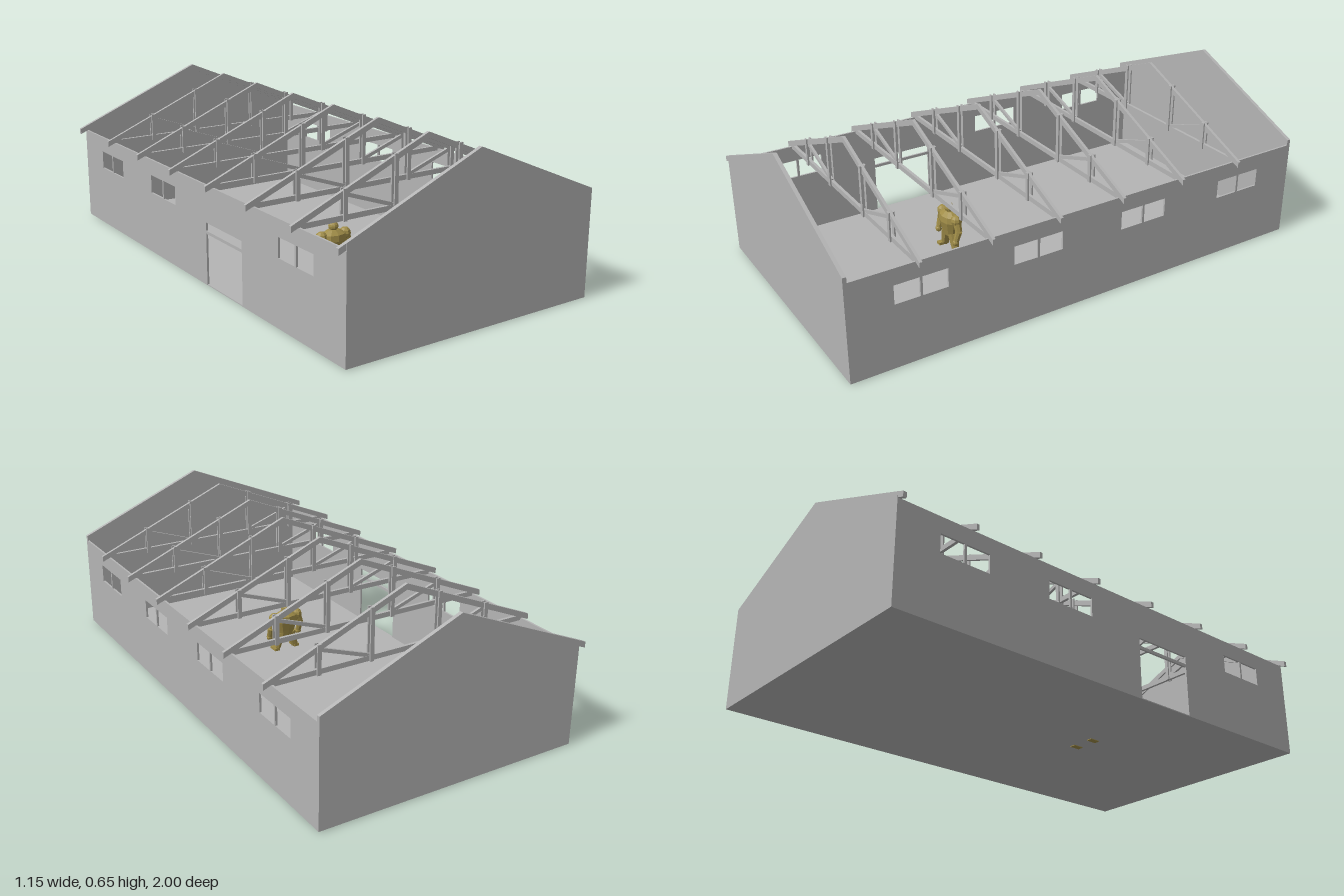
import * as THREE from 'three';

export function createModel() {
  const model = new THREE.Group();
  const grey = new THREE.MeshStandardMaterial({ color: 0xb4b4b4 });
  grey.name = 'plain grey';
  const gold = new THREE.MeshStandardMaterial({ color: 0xa08d48, flatShading: true });
  gold.name = 'dull gold';

  const W = 0.545, EAVE = 0.4, BASE = 0.003, T = 0.008;
  const roofY = x => 0.65 - 0.417 * Math.abs(x);

  function add(parent, name, geometry, material, x = 0, y = 0, z = 0) {
    const mesh = new THREE.Mesh(geometry, material);
    mesh.name = name;
    mesh.position.set(x, y, z);
    parent.add(mesh);
    return mesh;
  }
  const polygon = pts => new THREE.Shape(pts.map(p => new THREE.Vector2(...p)));
  const extrude = (shape, depth) => new THREE.ExtrudeGeometry(shape, { depth, bevelEnabled: false });
  const rect = (a, b, c, d) => [[a, c], [b, c], [b, d], [a, d]];

  // Floor slab
  add(model, 'floor', new THREE.BoxGeometry(2 * W - 0.002, 0.004, 1.996), grey, 0, 0.005, 0);

  // Long walls with paired windows; the left one (-x) has a doorway
  function sideWall(name, x, windows, door) {
    const shape = polygon(door
      ? [[-1, BASE], [0.11, BASE], [0.11, 0.253], [0.37, 0.253], [0.37, BASE], [1, BASE], [1, EAVE], [-1, EAVE]]
      : rect(-1, 1, BASE, EAVE));
    for (const z of windows) {
      for (const s of [-1, 1]) {
        const c = z + s * 0.0545;
        shape.holes.push(polygon(rect(c - 0.05, c + 0.05, 0.26, 0.335)));
      }
    }
    const g = extrude(shape, T);
    g.rotateY(-Math.PI / 2);
    add(model, name, g, grey, x, 0, 0);
  }
  sideWall('windowWall', W, [-0.72, -0.24, 0.238, 0.716], false);
  sideWall('doorWall', -W + T, [-0.72, -0.24, 0.716], true);
  add(model, 'doorTransom', new THREE.BoxGeometry(T, 0.012, 0.26), grey, -W + T / 2, 0.215, 0.24);

  // Gable end walls
  const gable = polygon([[-W, BASE], [W, BASE], [W, roofY(W)], [0, 0.65], [-W, roofY(W)]]);
  add(model, 'frontGable', extrude(gable, T), grey, 0, 0, 1 - T);
  add(model, 'backGable', extrude(gable, T), grey, 0, 0, -1);

  // Pair of rafters meeting at the ridge
  function rafters(depth, rightEnd) {
    const l = 0.575, h = 0.023;
    return extrude(polygon([
      [-l, roofY(l) - h], [0, 0.65 - h], [rightEnd, roofY(rightEnd) - h],
      [rightEnd, roofY(rightEnd)], [0, 0.65], [-l, roofY(l)],
    ]), depth);
  }
  for (const z of [0.985, -0.999]) add(model, 'gableRafters', rafters(0.014, W), grey, 0, 0, z);

  // Roof trusses
  const rafterGeo = rafters(0.012, 0.575);
  const tieGeo = new THREE.BoxGeometry(1.09, 0.02, 0.012);
  for (let i = 0; i < 6; i++) {
    const truss = new THREE.Group();
    truss.name = 'truss';
    truss.position.z = -0.693 + i * 0.2845;
    model.add(truss);
    add(truss, 'rafters', rafterGeo, grey, 0, 0, -0.006);
    add(truss, 'tieBeam', tieGeo, grey, 0, 0.402, 0);
    for (const side of [-1, 1]) {
      // doubled posts clamp the rafter and tie beam
      for (const px of [0.145, 0.36]) {
        const top = roofY(px) + 0.004;
        for (const s of [-1, 1]) {
          add(truss, 'post', new THREE.BoxGeometry(0.016, top - 0.39, 0.006), grey,
            side * px, (top + 0.39) / 2, s * 0.009);
        }
      }
      // brace from the foot of the inner post to the head of the outer post
      const dx = 0.215, dy = 0.075;
      const brace = add(truss, 'brace', new THREE.BoxGeometry(Math.hypot(dx, dy), 0.014, 0.01), grey,
        side * 0.2525, 0.447, 0);
      brace.rotation.z = side * Math.atan2(dy, dx);
    }
  }

  // Stocky standing figure
  const figure = new THREE.Group();
  figure.name = 'figure';
  figure.position.set(-0.07, 0, 0.265);
  model.add(figure);
  const profile = [[0, 0.07], [0.036, 0.075], [0.044, 0.1], [0.058, 0.14], [0.054, 0.165], [0.025, 0.182], [0, 0.184]];
  const torso = add(figure, 'torso', new THREE.LatheGeometry(profile.map(p => new THREE.Vector2(...p)), 10), gold);
  torso.scale.z = 0.68;
  add(figure, 'head', new THREE.SphereGeometry(0.02, 10, 8), gold, 0, 0.195, 0);
  function limb(name, from, to, r0, r1) {
    const a = new THREE.Vector3(...from), b = new THREE.Vector3(...to);
    const dir = b.clone().sub(a);
    const mesh = add(figure, name, new THREE.CylinderGeometry(r1, r0, dir.length(), 8), gold);
    mesh.position.copy(a).add(b).multiplyScalar(0.5);
    mesh.quaternion.setFromUnitVectors(new THREE.Vector3(0, 1, 0), dir.normalize());
  }
  for (const s of [-1, 1]) {
    add(figure, 'shoulder', new THREE.SphereGeometry(0.024, 8, 6), gold, s * 0.056, 0.158, 0);
    limb('upperArm', [s * 0.058, 0.158, 0], [s * 0.074, 0.115, 0], 0.018, 0.015);
    limb('forearm', [s * 0.074, 0.115, 0], [s * 0.072, 0.075, 0.012], 0.015, 0.012);
    add(figure, 'hand', new THREE.SphereGeometry(0.014, 8, 6), gold, s * 0.072, 0.068, 0.014);
    limb('leg', [s * 0.024, 0.085, 0], [s * 0.046, 0.012, 0], 0.023, 0.015);
    add(figure, 'foot', new THREE.BoxGeometry(0.024, 0.018, 0.045), gold, s * 0.048, 0.009, 0.008);
  }

  return model;
}
